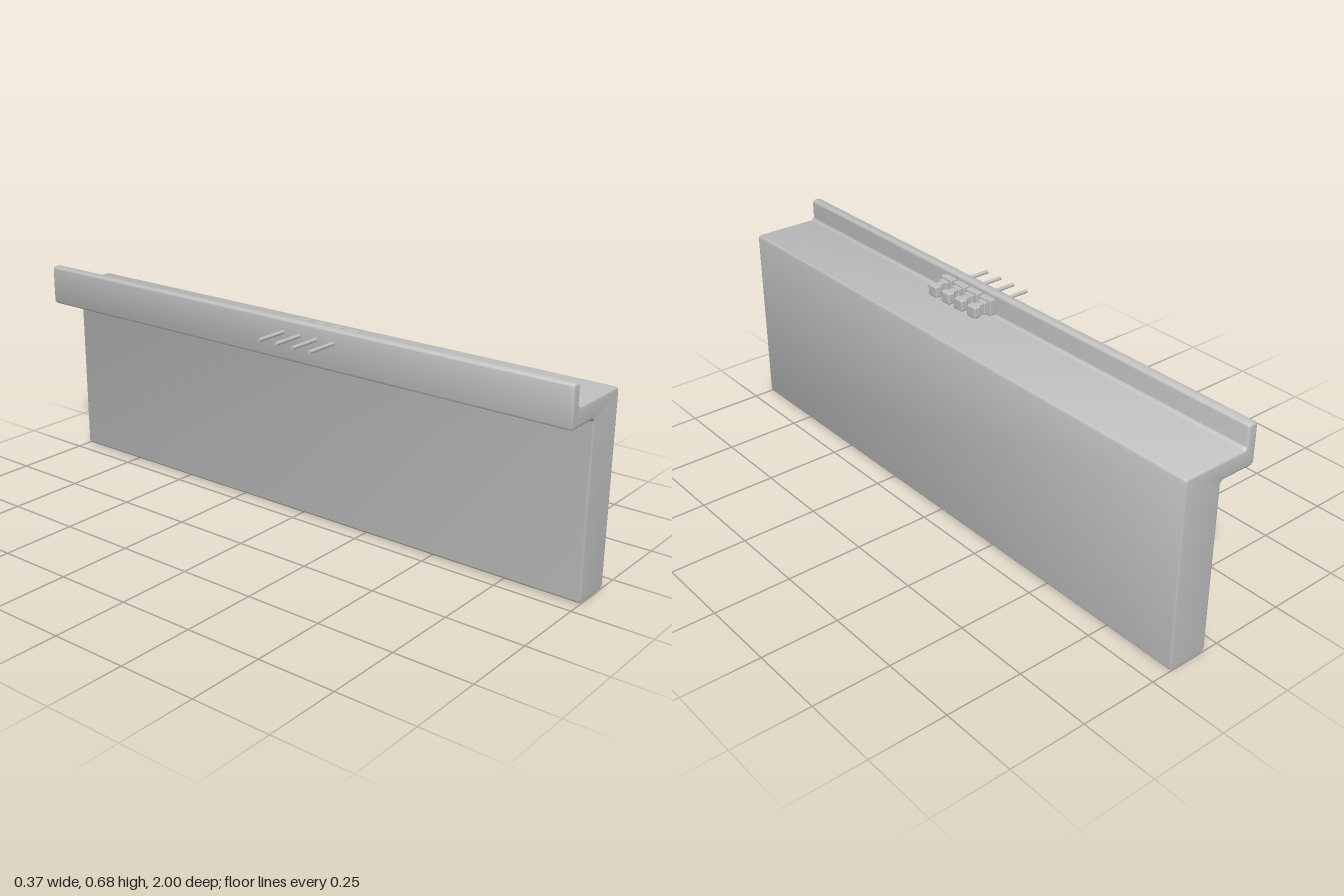
import * as THREE from 'three';
import { toCreasedNormals } from 'three/addons/utils/BufferGeometryUtils.js';
import { RoundedBoxGeometry } from 'three/addons/geometries/RoundedBoxGeometry.js';

const grey = new THREE.MeshStandardMaterial({ color: 0xc0c0c0 });
grey.name = 'plain grey';

// Closed shape with every corner rounded by radius r
function roundedShape(points, r) {
  const pts = points.map(([x, y]) => new THREE.Vector2(x, y));
  const shape = new THREE.Shape();
  pts.forEach((p, i) => {
    const prev = pts[(i + pts.length - 1) % pts.length];
    const next = pts[(i + 1) % pts.length];
    const a = p.clone().add(prev.clone().sub(p).setLength(r));
    const b = p.clone().add(next.clone().sub(p).setLength(r));
    if (i === 0) shape.moveTo(a.x, a.y);
    else shape.lineTo(a.x, a.y);
    shape.quadraticCurveTo(p.x, p.y, b.x, b.y);
  });
  shape.closePath();
  return shape;
}

function addMesh(parent, name, geometry, x, y, z) {
  const mesh = new THREE.Mesh(geometry, grey);
  mesh.name = name;
  mesh.position.set(x, y, z);
  parent.add(mesh);
  return mesh;
}

// Rounded block between x0..x1 and y0..y1, centred on z = 0
function addBlock(parent, name, x0, x1, y0, y1, depth, r) {
  const geometry = new RoundedBoxGeometry(x1 - x0, y1 - y0, depth, 2, r);
  return addMesh(parent, name, geometry, (x0 + x1) / 2, (y0 + y1) / 2, 0);
}

export function createModel() {
  const model = new THREE.Group();
  model.name = 'ledgeWithPegs';

  // Long wall, overhanging ledge and upright lip in one profile
  const profile = roundedShape([
    [0.049, 0.002], [0.186, 0.002], [0.186, 0.614], [-0.041, 0.614],
    [-0.041, 0.686], [-0.076, 0.686], [-0.076, 0.555], [0.049, 0.555],
  ], 0.014);
  const bevel = 0.008;
  const wall = new THREE.ExtrudeGeometry(profile, {
    depth: 2 - 2 * bevel, curveSegments: 5,
    bevelEnabled: true, bevelSize: bevel, bevelThickness: bevel,
    bevelOffset: -bevel, bevelSegments: 4,
  });
  wall.translate(0, 0, -1 + bevel);
  addMesh(model, 'wall', toCreasedNormals(wall, 0.6), 0, -0.002, 0);

  // Row of four pegs through the lip
  for (let i = 0; i < 4; i++) {
    const peg = new THREE.Group();
    peg.name = 'peg' + (i + 1);
    peg.position.z = 0.026 + i * 0.063;
    const rod = addMesh(peg, 'rod', new THREE.CylinderGeometry(0.006, 0.006, 0.15, 16), -0.112, 0.642, 0);
    rod.rotation.z = Math.PI / 2;
    addBlock(peg, 'backPlate', -0.042, -0.018, 0.617, 0.67, 0.052, 0.004);
    addBlock(peg, 'collar', -0.02, -0.004, 0.622, 0.663, 0.034, 0.003);
    addBlock(peg, 'neck', -0.006, 0.014, 0.623, 0.66, 0.022, 0.003);
    addBlock(peg, 'knob', 0.011, 0.037, 0.622, 0.66, 0.04, 0.006);
    model.add(peg);
  }
  return model;
}
